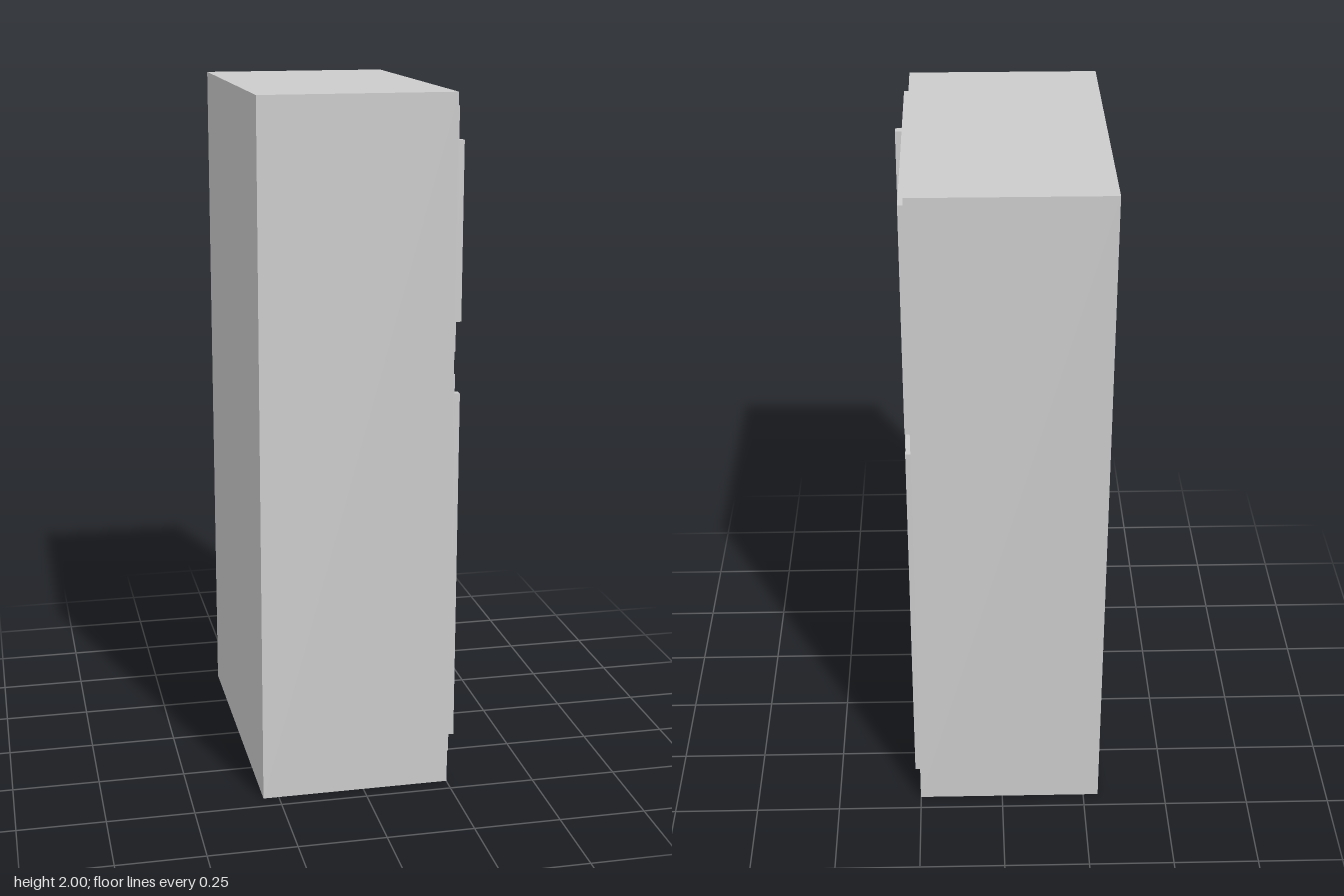
import * as THREE from 'three';

export function createModel() {
  const model = new THREE.Group();
  const material = new THREE.MeshStandardMaterial({ color: 0xcccccc });

  // Box given by its lower and upper limits on each axis
  function addBox(name, [x0, x1], [y0, y1], [z0, z1]) {
    const mesh = new THREE.Mesh(new THREE.BoxGeometry(x1 - x0, y1 - y0, z1 - z0), material);
    mesh.position.set((x0 + x1) / 2, (y0 + y1) / 2, (z0 + z1) / 2);
    mesh.name = name;
    model.add(mesh);
  }

  const bodyFace = 0.251, doorFace = 0.267, handleFace = 0.295;

  // Cabinet
  addBox('cabinet', [-0.295, bodyFace], [0, 2], [-0.4535, 0.4535]);

  // Door panels on the +x side, each with a vertical bar handle
  const doors = [
    { name: 'freezer', door: [1.283, 1.96], handle: [1.358, 1.863] },
    { name: 'fridge', door: [0.074, 1.218], handle: [0.105, 1.151] },
  ];
  for (const { name, door, handle } of doors) {
    addBox(name + 'Door', [bodyFace, doorFace], door, [-0.408, 0.408]);
    addBox(name + 'Handle', [doorFace, handleFace], handle, [0.34, 0.364]);
  }

  return model;
}
